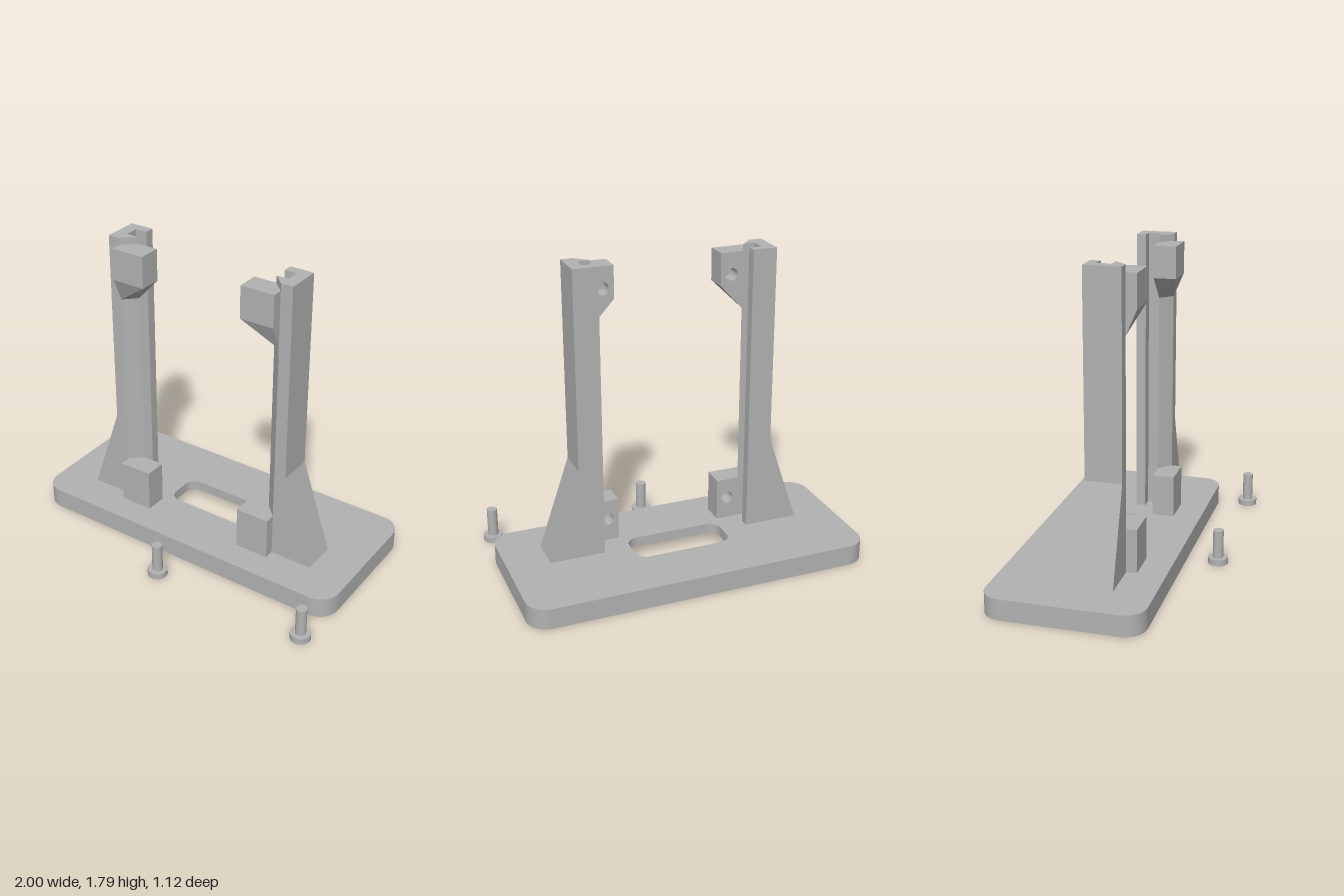
import * as THREE from 'three';
import { ConvexGeometry } from 'three/addons/geometries/ConvexGeometry.js';

const grey = new THREE.MeshStandardMaterial({ color: 0xb2b2b2 });
grey.name = 'grey plastic';

function add(parent, name, geometry) {
  const mesh = new THREE.Mesh(geometry, grey);
  mesh.name = name;
  parent.add(mesh);
  return mesh;
}

const outline = (points) => new THREE.Shape(points.map(([x, y]) => new THREE.Vector2(x, y)));

// Rounded rectangle in plan, given by x half-width and z range
function roundedPlan(hx, z0, z1, r, Type = THREE.Shape) {
  const p = new Type();
  p.absarc(hx - r, -z0 - r, r, 0, Math.PI / 2);
  p.absarc(-hx + r, -z0 - r, r, Math.PI / 2, Math.PI);
  p.absarc(-hx + r, -z1 + r, r, Math.PI, Math.PI * 1.5);
  p.absarc(hx - r, -z1 + r, r, Math.PI * 1.5, Math.PI * 2);
  p.closePath();
  return p;
}

// Extrude a plan (x, -z) upward from y0 to y1
function extrudeUp(shape, y0, y1) {
  return new THREE.ExtrudeGeometry(shape, { depth: y1 - y0, bevelEnabled: false, curveSegments: 10 })
    .rotateX(-Math.PI / 2).translate(0, y0, 0);
}

// Extrude a front outline (x, y) from z0 to z1
function extrudeFront(shape, z0, z1) {
  return new THREE.ExtrudeGeometry(shape, { depth: z1 - z0, bevelEnabled: false, curveSegments: 16 })
    .translate(0, 0, z0);
}

// Block with a blind screw hole in its back face
function addDrilledBlock(parent, name, s, y0, y1, holeY) {
  const shape = () => outline([[s * 0.31, y0], [s * 0.51, y0], [s * 0.51, y1], [s * 0.31, y1]]);
  const drilled = shape();
  const hole = new THREE.Path();
  hole.absarc(s * 0.375, holeY, 0.036, 0, Math.PI * 2);
  drilled.holes.push(hole);
  add(parent, name + 'Back', extrudeFront(drilled, 0.03, 0.12));
  add(parent, name + 'Front', extrudeFront(shape(), 0.12, 0.16));
}

function createPost(s, name) {
  const post = new THREE.Group();
  post.name = name;

  // Upright with a channel on its inner side and a chamfered front corner
  const section = [
    [0.58, -0.105], [0.44, -0.105], [0.44, -0.05], [0.51, -0.05],
    [0.51, 0.03], [0.44, 0.03], [0.51, 0.1], [0.58, 0.1],
  ];
  add(post, 'upright', extrudeUp(outline(section.map(([x, z]) => [s * x, -z])), 0.12, 1.79));

  // Sloping outer foot
  add(post, 'gusset', extrudeFront(outline([[s * 0.58, 0.12], [s * 0.76, 0.12], [s * 0.58, 0.65]]), -0.105, 0.1));

  addDrilledBlock(post, 'lowerBlock', s, 0.12, 0.37, 0.25);
  addDrilledBlock(post, 'upperBlock', s, 1.565, 1.75, 1.625);

  // Underside of the upper block, tapering into the chamfer
  const taper = [
    [0.51, 1.565, 0.1], [0.51, 1.565, 0.16], [0.31, 1.565, 0.16], [0.31, 1.565, 0.03],
    [0.44, 1.565, 0.03], [0.51, 1.425, 0.1], [0.44, 1.425, 0.03],
  ].map(([x, y, z]) => new THREE.Vector3(s * x, y, z));
  add(post, 'upperBlockTaper', new ConvexGeometry(taper));
  return post;
}

function createScrew(x, name) {
  const screw = new THREE.Group();
  screw.name = name;
  add(screw, 'screwHead', new THREE.CylinderGeometry(0.057, 0.057, 0.036, 32).translate(0, 0.018, 0));
  add(screw, 'screwShaft', new THREE.CylinderGeometry(0.03, 0.03, 0.164, 32).translate(0, 0.118, 0));
  screw.position.set(x, 0, 0.5);
  return screw;
}

export function createModel() {
  const model = new THREE.Group();
  model.name = 'stand';

  // Base plate in two layers: a wide recess below, a narrow slot above
  const base = new THREE.Group();
  base.name = 'base';
  const lower = roundedPlan(1, -0.56, 0.32, 0.12);
  lower.holes.push(roundedPlan(0.41, -0.37, 0.12, 0.1, THREE.Path));
  const upper = roundedPlan(1, -0.56, 0.32, 0.12);
  upper.holes.push(roundedPlan(0.285, -0.24, -0.01, 0.07, THREE.Path));
  add(base, 'baseLower', extrudeUp(lower, 0, 0.06));
  add(base, 'baseUpper', extrudeUp(upper, 0.06, 0.12));
  model.add(base);

  model.add(createPost(1, 'leftPost'), createPost(-1, 'rightPost'));
  model.add(createScrew(0, 'middleScrew'), createScrew(0.942, 'sideScrew'));
  return model;
}
